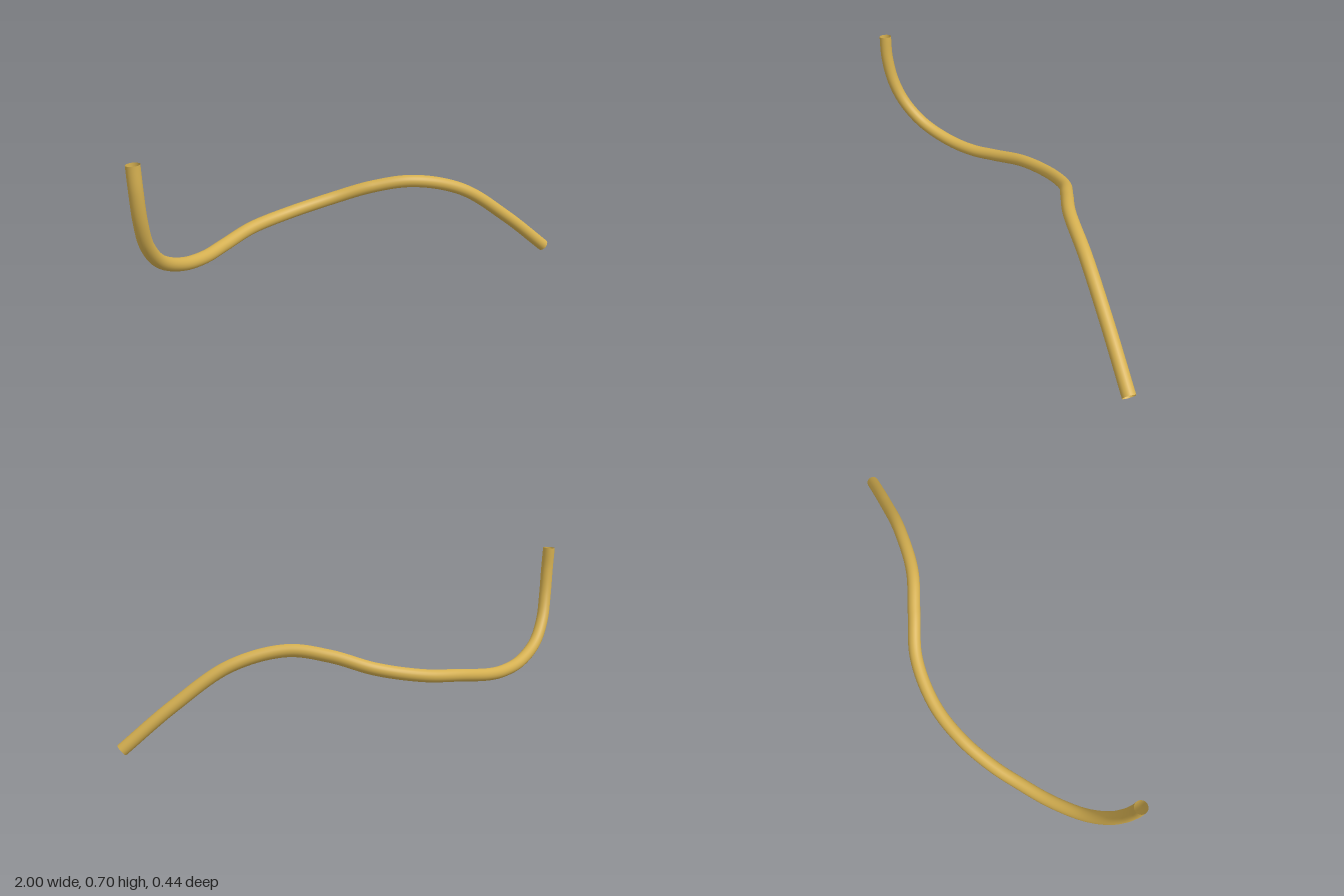
import * as THREE from 'three';

export function createModel() {
  const group = new THREE.Group();
  group.name = 'bentTube';

  // Centre line, from the upright end to the low end
  const path = new THREE.CatmullRomCurve3([
    [-0.974, 0.698, 0.192],
    [-0.968, 0.6, 0.192],
    [-0.952, 0.485, 0.175],
    [-0.92, 0.385, 0.14],
    [-0.85, 0.295, 0.083],
    [-0.73, 0.237, 0.008],
    [-0.61, 0.222, -0.055],
    [-0.5, 0.232, -0.112],
    [-0.345, 0.26, -0.17],
    [-0.168, 0.283, -0.195],
    [0.03, 0.323, -0.165],
    [0.19, 0.372, -0.083],
    [0.345, 0.391, -0.003],
    [0.56, 0.335, 0.055],
    [0.78, 0.187, 0.095],
    [0.982, 0.022, 0.129],
  ].map((p) => new THREE.Vector3(...p)));

  // Open-ended round tube
  const tube = new THREE.Mesh(
    new THREE.TubeGeometry(path, 160, 0.026, 24, false),
    new THREE.MeshStandardMaterial({ color: 0xd4af50, side: THREE.DoubleSide }),
  );
  tube.name = 'tube';
  group.add(tube);
  return group;
}
